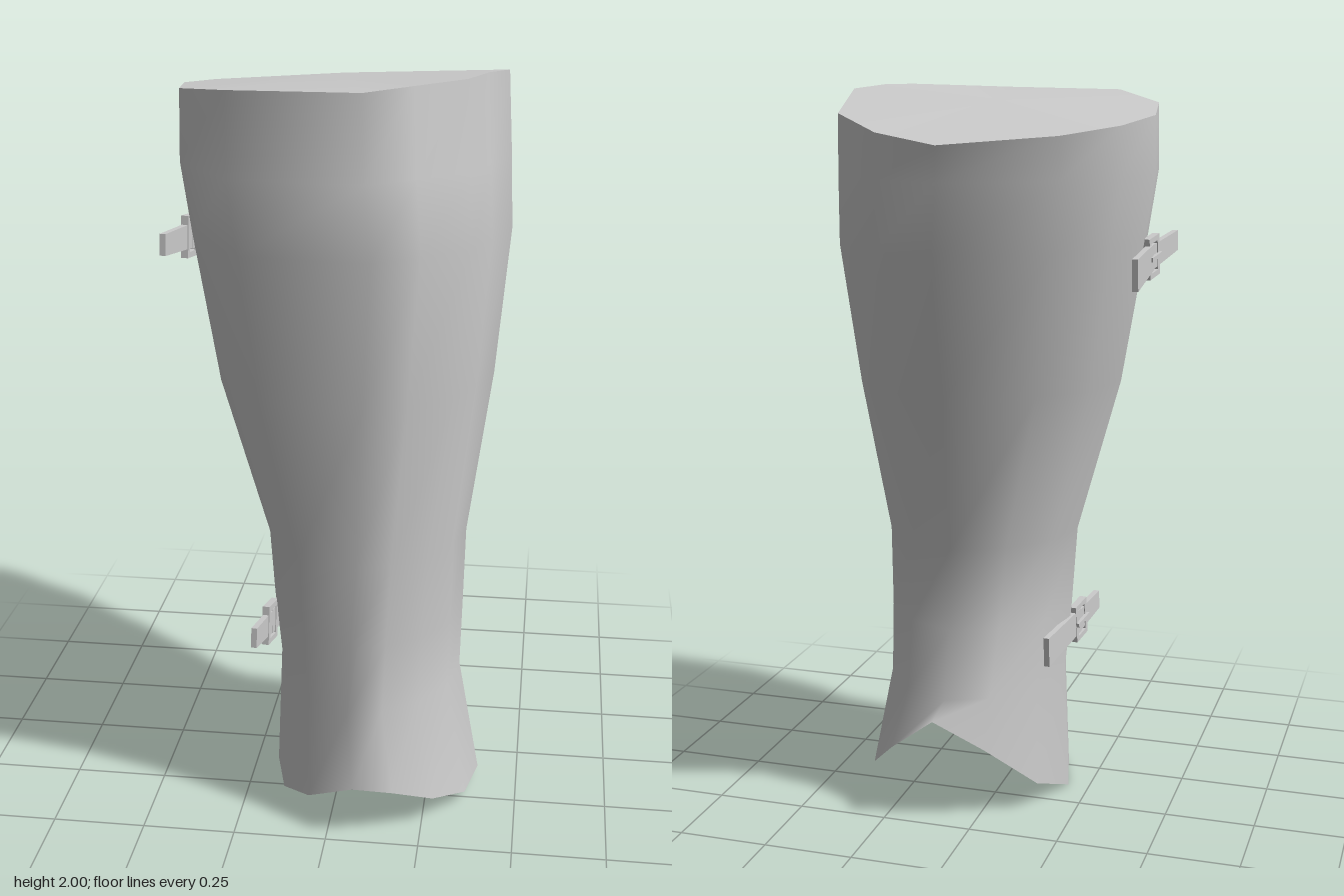
import * as THREE from 'three';

const grey = new THREE.MeshStandardMaterial({ color: 0xcccccc, side: THREE.DoubleSide });

// Unit outlines [x, z], starting at the back and running through +x to the front
const CALF = [[.03, -1], [.45, -.85], [.81, -.54], [1, .15], [.89, .4], [.785, .63], [.5, .82],
  [.23, 1], [-.55, .935], [-.905, .52], [-1, 0], [-.89, -.4], [-.61, -.73]];
const ANKLE = [[0, -1], [.5, -.82], [.88, -.42], [1, .05], [.9, .42], [.62, .74], [.26, .93],
  [-.1, 1], [-.55, .77], [-.85, .45], [-1, 0], [-.85, -.5], [-.45, -.85]];

// Heights of the slanted top rim and the scalloped hem
const RIM = [1.87, 1.895, 1.935, 1.99, 2, 2, 1.995, 1.99, 1.985, 1.955, 1.93, 1.91, 1.89];
const HEM = [.31, .19, .07, .03, .03, .08, .135, .155, .07, .015, 0, .08, .22];

// [height, x min, x max, z min, z max, blend from calf to ankle outline]
const RINGS = [
  [HEM, -.19, .39, -.265, .49, 1],
  [.36, -.175, .33, -.225, .45, 1],
  [.55, -.19, .335, -.19, .44, .85],
  [.78, -.205, .34, -.19, .44, .65],
  [1.22, -.335, .4, -.335, .475, .2],
  [1.6, -.4, .433, -.445, .49, 0],
  [1.78, -.433, .425, -.47, .465, 0],
  [RIM, -.435, .412, -.49, .43, 0],
];

function ringPoints([y, x0, x1, z0, z1, t]) {
  return CALF.map(([cx, cz], i) => new THREE.Vector3(
    (x0 + x1) / 2 + THREE.MathUtils.lerp(cx, ANKLE[i][0], t) * (x1 - x0) / 2,
    Array.isArray(y) ? y[i] : y,
    (z0 + z1) / 2 + THREE.MathUtils.lerp(cz, ANKLE[i][1], t) * (z1 - z0) / 2));
}

function meshFrom(name, points, index) {
  const geo = new THREE.BufferGeometry().setFromPoints(points);
  geo.setIndex(index);
  geo.computeVertexNormals();
  const mesh = new THREE.Mesh(geo, grey);
  mesh.name = name;
  return mesh;
}

// Open smooth tube skinned over the rings
function legShell() {
  const n = CALF.length, index = [];
  for (let r = 0; r < RINGS.length - 1; r++) {
    for (let i = 0; i < n; i++) {
      const a = r * n + i, b = r * n + (i + 1) % n;
      index.push(a, a + n, b, b, a + n, b + n);
    }
  }
  return meshFrom('legShell', RINGS.flatMap(ringPoints), index);
}

// Lid closing the top rim
function topCap() {
  const rim = ringPoints(RINGS[RINGS.length - 1]), n = rim.length, index = [];
  for (let i = 0; i < n; i++) index.push(n, (i + 1) % n, i);
  return meshFrom('topCap', [...rim, new THREE.Vector3(-.01, 1.965, -.02)], index);
}

// Flat band between two points, tapering in height
function band(name, from, to, h0, h1) {
  const length = from.distanceTo(to);
  const geo = new THREE.BoxGeometry(.016, 1, length);
  const pos = geo.attributes.position;
  for (let i = 0; i < pos.count; i++) pos.setY(i, pos.getY(i) * (pos.getZ(i) < 0 ? h0 : h1));
  const mesh = new THREE.Mesh(geo, grey);
  mesh.name = name;
  mesh.position.copy(from).lerp(to, .5);
  mesh.lookAt(to);
  return mesh;
}

// Rectangular buckle frame with a prong
function buckle(at, toward) {
  const frame = new THREE.Shape([[-.04, -.055], [.04, -.055], [.04, .055], [-.04, .055]]
    .map(p => new THREE.Vector2(...p)));
  frame.holes.push(new THREE.Path([[-.025, -.04], [-.025, .04], [.025, .04], [.025, -.04]]
    .map(p => new THREE.Vector2(...p))));
  const geo = new THREE.ExtrudeGeometry(frame, { depth: .02, bevelEnabled: false });
  geo.translate(0, 0, -.01).rotateY(Math.PI / 2);
  const group = new THREE.Group();
  group.name = 'buckle';
  const ring = new THREE.Mesh(geo, grey);
  ring.name = 'buckleFrame';
  const prong = new THREE.Mesh(new THREE.BoxGeometry(.012, .012, .08), grey);
  prong.name = 'bucklePin';
  prong.position.x = -.012;
  group.add(ring, prong);
  group.position.copy(at);
  group.lookAt(toward);
  return group;
}

function strap(name, rear, middle, tip) {
  const [a, b, c] = [rear, middle, tip].map(p => new THREE.Vector3(...p));
  const group = new THREE.Group();
  group.name = name;
  group.add(band('strapBase', a, b, .085, .07), band('strapTail', b, c, .065, .055), buckle(b, c));
  return group;
}

export function createModel() {
  const model = new THREE.Group();
  model.name = 'legGuard';
  model.add(
    legShell(),
    topCap(),
    strap('upperStrap', [-.408, 1.53, -.115], [-.405, 1.555, .1], [-.43, 1.58, .3]),
    strap('lowerStrap', [-.165, .465, -.055], [-.195, .485, .19], [-.215, .505, .33]),
  );
  return model;
}
